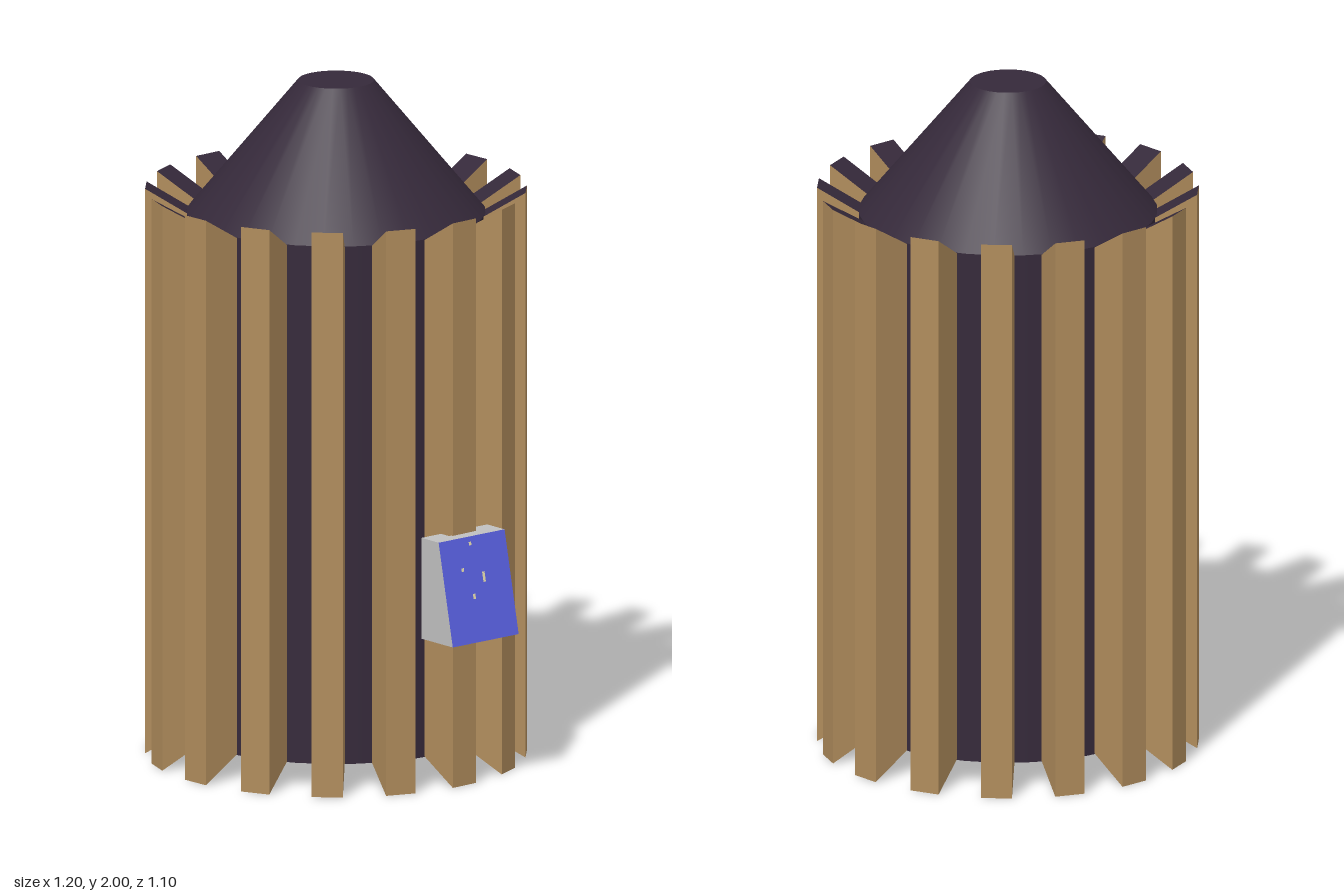
import * as THREE from 'three';

const mat = (name, color) => {
  const m = new THREE.MeshStandardMaterial({ color });
  m.name = name;
  return m;
};

export function createModel() {
  const dark = mat('dark plum', 0x35293a);
  const wood = mat('wood', 0xb08c5c);
  const grey = mat('light grey', 0xc0c0c0);
  const blue = mat('panel blue', 0x5a61e4);
  const cream = mat('cream', 0xe6dcae);

  const model = new THREE.Group();
  const add = (parent, name, geometry, material, x = 0, y = 0, z = 0) => {
    const mesh = new THREE.Mesh(geometry, material);
    mesh.name = name;
    mesh.position.set(x, y, z);
    parent.add(mesh);
    return mesh;
  };

  // Cylindrical core with a truncated cone on top
  const tower = new THREE.Group();
  tower.name = 'tower';
  tower.position.x = -0.05;
  model.add(tower);
  add(tower, 'core', new THREE.CylinderGeometry(0.433, 0.433, 1.54, 32), dark, 0, 0.84);
  add(tower, 'coneRoof', new THREE.CylinderGeometry(0.11, 0.433, 0.39, 32), dark, 0, 1.805);

  // Slat: a box whose slanted ends narrow towards the core
  const slatGeo = new THREE.BoxGeometry(0.13, 1.68, 0.09);
  const sp = slatGeo.attributes.position;
  for (let i = 0; i < sp.count; i++) {
    if (sp.getX(i) < 0) sp.setY(i, sp.getY(i) - Math.sign(sp.getY(i)) * 0.077);
  }
  slatGeo.computeVertexNormals();
  slatGeo.translate(0.485, 0.84, 0);
  const slatMats = [wood, wood, dark, dark, wood, wood];
  for (let i = 0; i < 16; i++) {
    const slat = add(tower, 'slat', slatGeo, slatMats);
    slat.rotation.y = THREE.MathUtils.degToRad(2 + i * 22.5);
  }

  // Sloped sign box on one slat, with ears gripping the slat from both sides
  const sign = new THREE.Group();
  sign.name = 'signBox';
  sign.position.set(0, 0.6, -0.015);
  model.add(sign);
  const signGeo = new THREE.BoxGeometry(0.105, 0.3, 0.25);
  const gp = signGeo.attributes.position;
  for (let i = 0; i < gp.count; i++) {
    if (gp.getX(i) > 0 && gp.getY(i) > 0) gp.setX(i, gp.getX(i) - 0.063);
  }
  signGeo.computeVertexNormals();
  add(sign, 'signBody', signGeo, [blue, grey, grey, grey, grey, grey], 0.5475);
  for (const side of [-1, 1]) {
    add(sign, 'signEar', new THREE.BoxGeometry(0.035, 0.3, 0.075), grey, 0.4775, 0, side * 0.0875);
  }

  // Small pale flecks on the sloped face
  const tilt = Math.atan2(0.063, 0.3);
  for (const [y, z, h] of [[0.13, 0.01, 0.01], [0.03, -0.025, 0.03], [0.06, 0.05, 0.01], [-0.02, 0.02, 0.015]]) {
    const fleck = add(sign, 'fleck', new THREE.BoxGeometry(0.003, h, 0.008), cream, 0.5685 - y * 0.21, y, z);
    fleck.rotation.z = tilt;
  }

  return model;
}
